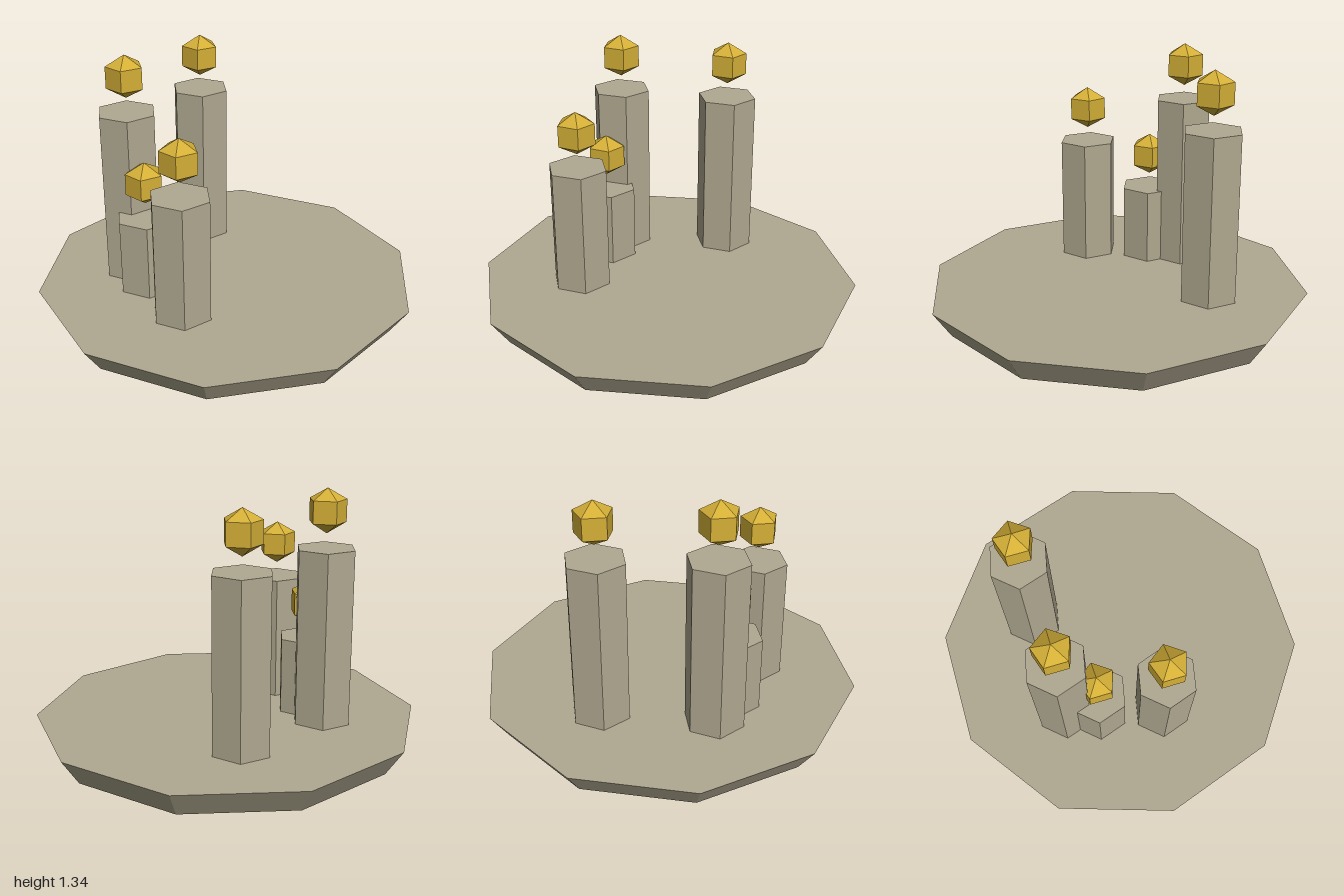
import * as THREE from 'three';

export function createModel() {
  const model = new THREE.Group();
  const stone = new THREE.MeshStandardMaterial({ color: 0xb0a890, flatShading: true });
  stone.name = 'stone';
  const gold = new THREE.MeshStandardMaterial({ color: 0xd4af37, flatShading: true });
  gold.name = 'gold';

  const add = (name, geometry, material, x, y, z) => {
    const mesh = new THREE.Mesh(geometry, material);
    mesh.name = name;
    mesh.position.set(x, y, z);
    model.add(mesh);
  };

  // Ten-sided plinth, tapering towards the ground
  const baseTop = 0.137;
  const base = new THREE.CylinderGeometry(1, 0.91, baseTop, 10).rotateY(Math.PI / 2);
  add('base', base, stone, 0, baseTop / 2, 0);

  // Five-sided gem with a corner pointing to +x
  const gem = new THREE.SphereGeometry(0.112, 5, 3).rotateY(Math.PI);

  // Hexagonal pillars, each with a gem floating above: x, z, top height
  const pillars = [
    [-0.33, -0.39, 1.013],
    [-0.478, 0.163, 1.044],
    [-0.33, 0.274, 0.537],
    [-0.038, 0.459, 0.79],
  ];
  pillars.forEach(([x, z, top], i) => {
    const height = top - baseTop;
    const pillar = new THREE.CylinderGeometry(0.157, 0.157, height, 6).rotateY(Math.PI / 2);
    add(`pillar${i + 1}`, pillar, stone, x, baseTop + height / 2, z);
    add(`gem${i + 1}`, gem, gold, x, top + 0.184, z);
  });

  return model;
}
